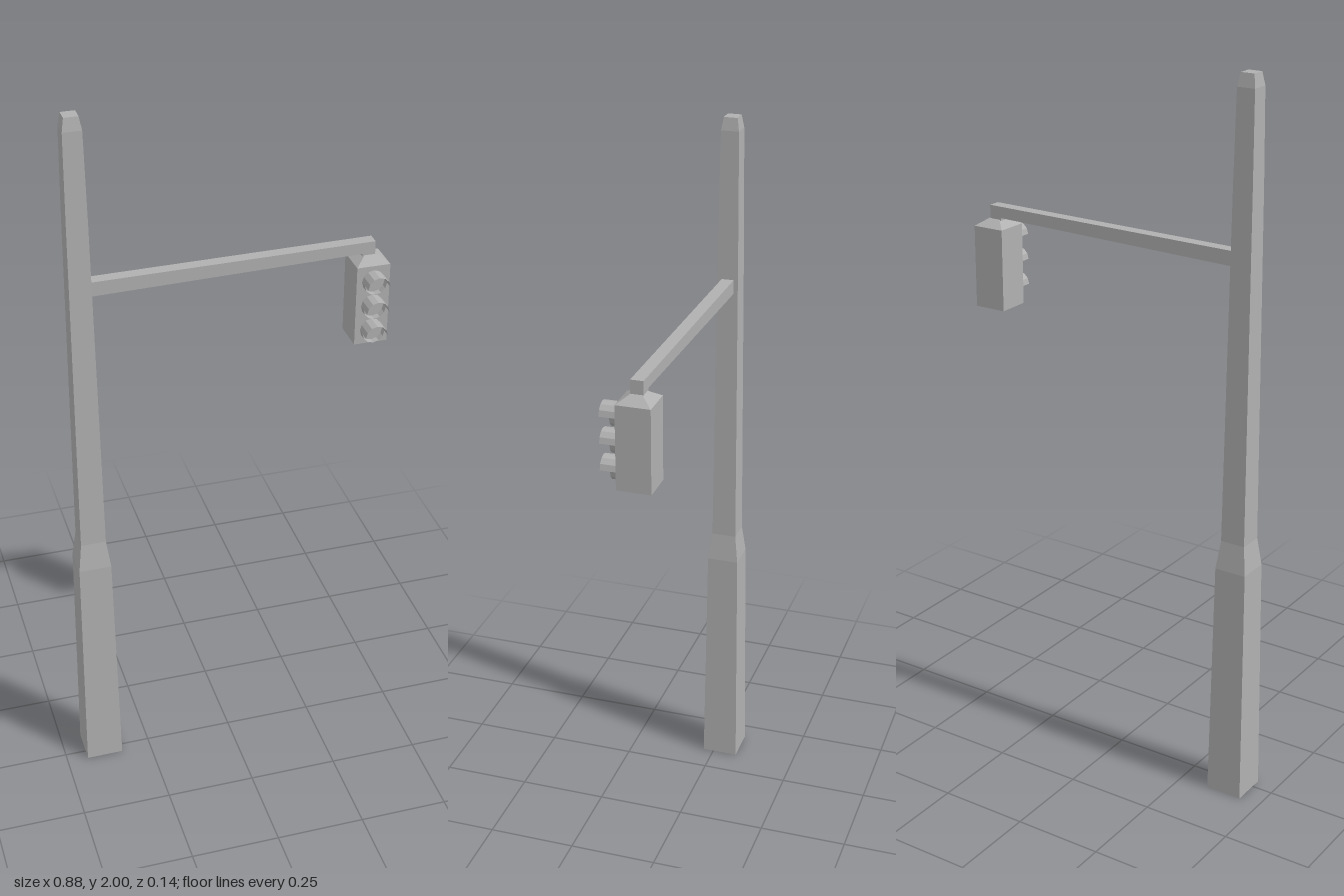
import * as THREE from 'three';

export function createModel() {
  const group = new THREE.Group();
  const grey = new THREE.MeshStandardMaterial({ color: 0xb0b0b0, flatShading: true, side: THREE.DoubleSide });
  grey.name = 'grey metal';
  const Z = -0.021; // shared depth of pole, arm and lamp housing
  const HEAD_X = 0.391;

  function add(name, geometry, x, y, z, parent = group) {
    const mesh = new THREE.Mesh(geometry, grey);
    mesh.name = name;
    mesh.position.set(x, y, z);
    parent.add(mesh);
    return mesh;
  }

  // Square column from [half width, height] pairs
  function squareColumn(profile) {
    const points = profile.map(([half, y]) => new THREE.Vector2(half * Math.SQRT2, y));
    return new THREE.LatheGeometry(points, 4, Math.PI / 4);
  }

  // Tapered pole, open underneath
  add('pole', squareColumn([
    [0.052, 0], [0.045, 0.68], [0.035, 0.76], [0.028, 1.72], [0.025, 1.965], [0.019, 2], [0, 2],
  ]), -0.388, 0, Z);

  // Rising arm with a short drop at its tip
  const arm = new THREE.Shape();
  [[-0.37, 1.512], [0.369, 1.528], [0.369, 1.52], [0.404, 1.52], [0.404, 1.56], [-0.37, 1.552]]
    .forEach(([x, y], i) => (i ? arm.lineTo(x, y) : arm.moveTo(x, y)));
  add('arm', new THREE.ExtrudeGeometry(arm, { depth: 0.034, bevelEnabled: false }), 0, 0, Z - 0.017);

  // Lamp housing with sloped roof
  const head = new THREE.Group();
  head.name = 'signalHead';
  head.position.set(HEAD_X, 0, Z);
  group.add(head);
  add('housing', squareColumn([
    [0, 1.275], [0.046, 1.275], [0.046, 1.503], [0.017, 1.523], [0, 1.523],
  ]), 0, 0, 0, head);

  // Three lenses, each with a long hood above and a short rim below
  const front = 0.046;
  const halfTube = (length, start) =>
    new THREE.CylinderGeometry(0.031, 0.031, length, 6, 1, true, start, Math.PI).rotateX(Math.PI / 2);
  for (const y of [1.46, 1.388, 1.316]) {
    add('lens', new THREE.CircleGeometry(0.031, 12), 0, y, front + 0.002, head);
    add('hood', halfTube(0.047, Math.PI / 2), 0, y, front + 0.0235, head);
    add('rim', halfTube(0.02, -Math.PI / 2), 0, y, front + 0.01, head);
  }
  return group;
}
